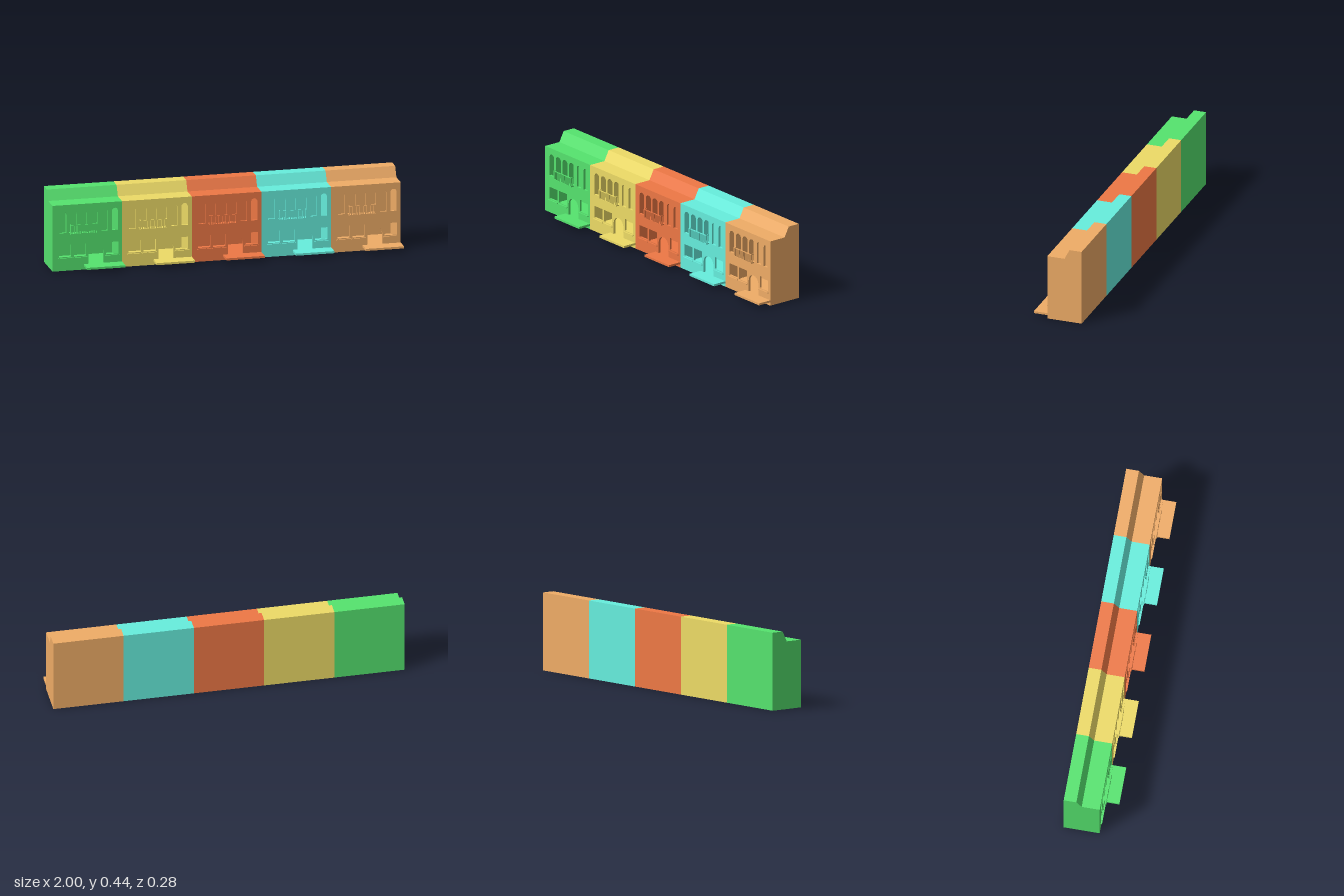
import * as THREE from 'three';

const W = 0.4;                       // width of one house
const BACK = -0.142, FRONT = 0.062;  // wall planes
const T = 0.012;                     // wall thickness
const FLOOR = 0.031, CEIL = 0.37;
const COLORS = [0x55e36e, 0xeddb66, 0xee7845, 0x66eedd, 0xefac66];

// ground-floor windows [x0, x1] and upper arched windows [centre, half width]
const WINDOWS = [[0.037, 0.107], [0.123, 0.193], [0.307, 0.379]];
const ARCHES = [[0.059, 0.02], [0.117, 0.023], [0.176, 0.023], [0.235, 0.023], [0.299, 0.018], [0.359, 0.018]];

function rectPath(x0, x1, y0, y1) {
  return new THREE.Path([[x0, y0], [x1, y0], [x1, y1], [x0, y1]].map(p => new THREE.Vector2(...p)));
}

function archPath(cx, r, y0, top) {
  const p = new THREE.Path();
  p.moveTo(cx - r, y0);
  p.lineTo(cx + r, y0);
  p.lineTo(cx + r, top - r);
  p.absarc(cx, top - r, r, 0, Math.PI, false);
  p.closePath();
  return p;
}

function createHouse(color) {
  const house = new THREE.Group();
  const material = new THREE.MeshStandardMaterial({ color });

  const add = (name, geometry, parent = house) => {
    const mesh = new THREE.Mesh(geometry, material);
    mesh.name = name;
    parent.add(mesh);
    return mesh;
  };
  const box = (name, x0, x1, y0, y1, z0, z1, parent) =>
    add(name, new THREE.BoxGeometry(x1 - x0, y1 - y0, z1 - z0), parent)
      .position.set((x0 + x1) / 2, (y0 + y1) / 2, (z0 + z1) / 2);

  // floor, back wall and stepped roof as one section, open to the front
  const inner = FRONT - T;
  const section = [
    [inner, 0], [BACK, 0], [BACK, 0.44], [-0.07, 0.44], [-0.04, 0.382], [inner, 0.382],
    [inner, CEIL], [BACK + T, CEIL], [BACK + T, FLOOR], [inner, FLOOR],
  ].map(([z, y]) => new THREE.Vector2(-z, y));
  const shell = new THREE.ExtrudeGeometry(new THREE.Shape(section), { depth: W, bevelEnabled: false });
  shell.rotateY(Math.PI / 2);
  add('shellAndRoof', shell);

  // side walls closing the room
  for (const x of [0, W - T]) box('sideWall', x, x + T, FLOOR, CEIL, BACK + T, inner);

  // facade pierced by windows and door
  const facade = new THREE.Shape(rectPath(0, W, 0, 0.382).getPoints());
  for (const [a, b] of WINDOWS) facade.holes.push(rectPath(a, b, 0.08, 0.15));
  facade.holes.push(archPath(0.251, 0.043, 0.032, 0.137));
  for (const [cx, r] of ARCHES) facade.holes.push(archPath(cx, r, 0.219, 0.347));
  const wall = new THREE.ExtrudeGeometry(facade, { depth: T, bevelEnabled: false, curveSegments: 12 });
  wall.translate(0, 0, inner);
  add('facade', wall);

  // window sills and entrance platform
  for (const [a, b] of WINDOWS) box('windowSill', a - 0.006, b + 0.006, 0.069, 0.075, FRONT, 0.07);
  box('entrancePlatform', 0.18, W, 0.02, 0.032, FRONT, 0.142);

  // balcony with railing on three sides
  const balcony = new THREE.Group();
  balcony.name = 'balcony';
  house.add(balcony);
  const x0 = 0.1, x1 = 0.254, out = 0.083, bar = 0.004;
  box('balconyFloor', x0, x1, 0.212, 0.218, FRONT, out, balcony);
  box('frontRail', x0, x1, 0.264, 0.268, out - bar, out, balcony);
  for (const x of [x0, x1 - bar]) {
    box('sideRail', x, x + bar, 0.264, 0.268, FRONT, out - bar, balcony);
    box('sideBaluster', x, x + bar, 0.218, 0.264, 0.069, 0.073, balcony);
  }
  const count = 16;
  for (let i = 0; i < count; i++) {
    const x = x0 + (x1 - x0 - bar) * i / (count - 1);
    box('baluster', x, x + bar, 0.218, 0.264, out - bar, out, balcony);
  }
  return house;
}

export function createModel() {
  const row = new THREE.Group();
  row.name = 'terraceRow';
  COLORS.forEach((color, i) => {
    const house = createHouse(color);
    house.name = `house${i + 1}`;
    house.position.x = -1 + i * W;
    row.add(house);
  });
  return row;
}
